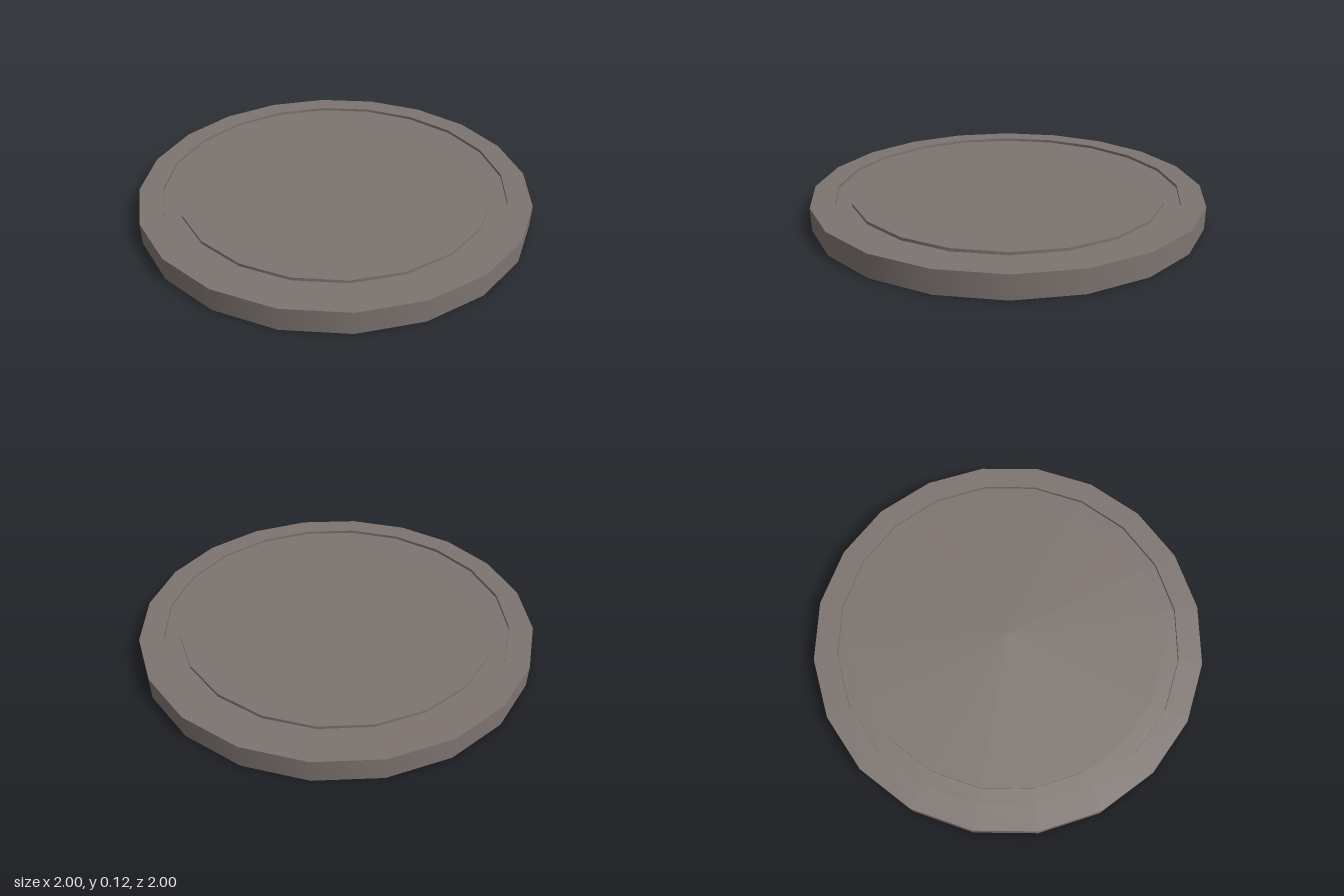
import * as THREE from 'three';
import { mergeGeometries } from 'three/addons/utils/BufferGeometryUtils.js';

const SIDES = 20;
const HEIGHT = 0.115;
const FLOOR = HEIGHT - 0.015; // bottom of the groove
const GROOVE_OUT = 0.88;
const GROOVE_IN = 0.8;

// Revolve each profile segment on its own: smooth around, sharp between segments
function revolve(profile) {
  const bands = [];
  for (let i = 0; i < profile.length - 1; i++) {
    const pair = [profile[i], profile[i + 1]].map(([r, y]) => new THREE.Vector2(r, y));
    bands.push(new THREE.LatheGeometry(pair, SIDES));
  }
  return mergeGeometries(bands);
}

export function createModel() {
  const model = new THREE.Group();
  model.name = 'disc';
  const material = new THREE.MeshStandardMaterial({ color: 0x7d7470 });

  function addPart(name, profile) {
    const mesh = new THREE.Mesh(revolve(profile), material);
    mesh.name = name;
    model.add(mesh);
  }

  // Flat underside, outer wall and raised rim
  addPart('rim', [[0, 0], [1, 0], [1, HEIGHT], [GROOVE_OUT, HEIGHT]]);
  // Shallow ring groove
  addPart('groove', [[GROOVE_OUT, HEIGHT], [GROOVE_OUT, FLOOR], [GROOVE_IN, FLOOR], [GROOVE_IN, HEIGHT]]);
  // Central plate, level with the rim
  addPart('centrePlate', [[GROOVE_IN, HEIGHT], [0, HEIGHT]]);

  return model;
}
